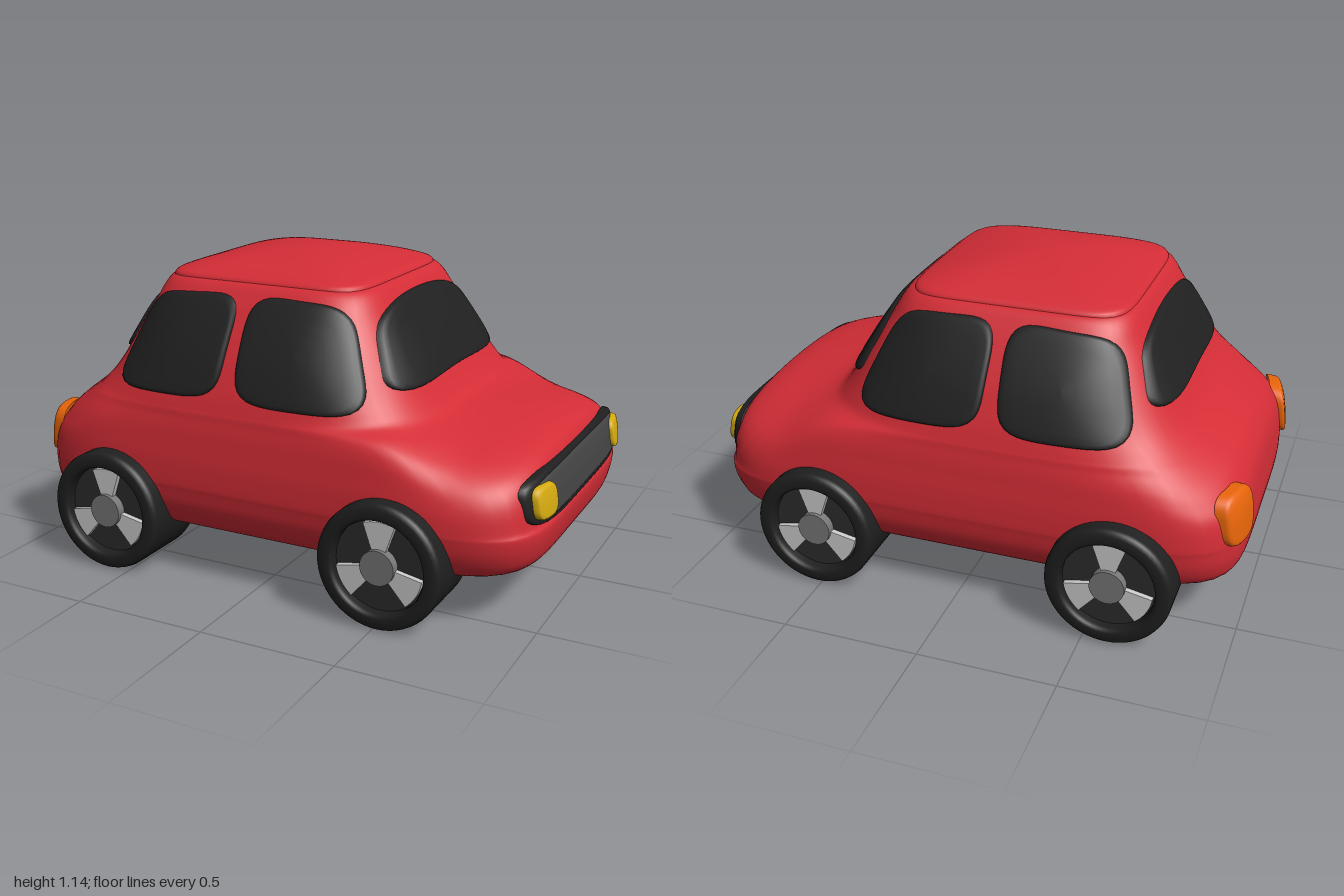
import * as THREE from 'three';

const mat = (color) => new THREE.MeshStandardMaterial({ color, roughness: 0.6, side: THREE.DoubleSide });
const paint = mat(0xd42d36), glass = mat(0x202020), rubber = mat(0x1f1f1f), dark = mat(0x2c2c2c);
const grilleGrey = mat(0x444444), yellow = mat(0xd6ab10), orange = mat(0xe8650a);
const silver = mat(0xc4c4c4), hubGrey = mat(0x777777);
const { smoothstep, lerp } = THREE.MathUtils;

// Horizontal sections of the body: [y, rear x, front x, half width, squareness]
const BODY = [
  [0.17, -0.90, 0.88, 0.55, 6],
  [0.185, -0.955, 0.93, 0.595, 6],
  [0.22, -0.985, 0.97, 0.635, 6],
  [0.28, -0.995, 0.99, 0.662, 6],
  [0.34, -0.995, 0.997, 0.672, 6],
  [0.37, -0.993, 0.985, 0.675, 6],
  [0.45, -0.985, 0.975, 0.672, 6],
  [0.51, -0.97, 0.96, 0.665, 6],
  [0.555, -0.945, 0.94, 0.66, 5.5],
  [0.585, -0.92, 0.9, 0.655, 5],
  [0.61, -0.885, 0.82, 0.65, 4.6],
  [0.63, -0.855, 0.7, 0.647, 4.3],
  [0.643, -0.835, 0.62, 0.643, 4.1],
  [0.66, -0.81, 0.57, 0.638, 4],
  [0.7, -0.76, 0.53, 0.625, 4],
  [0.75, -0.72, 0.495, 0.605, 4],
  [0.82, -0.68, 0.455, 0.574, 4],
  [0.9, -0.635, 0.405, 0.53, 4.2],
  [0.97, -0.594, 0.358, 0.486, 4.5],
  [1.02, -0.565, 0.325, 0.45, 5],
  [1.05, -0.545, 0.3, 0.425, 5],
  [1.062, -0.52, 0.27, 0.4, 5],
  [1.065, -0.46, 0.21, 0.35, 5],
];
const ROOF = [
  [1.04, -0.53, 0.28, 0.405, 6],
  [1.068, -0.525, 0.275, 0.4, 6],
  [1.085, -0.49, 0.24, 0.37, 5.5],
  [1.105, -0.42, 0.17, 0.31, 5],
  [1.124, -0.33, 0.08, 0.225, 4],
  [1.138, -0.22, -0.03, 0.11, 3],
  [1.142, -0.15, -0.1, 0.03, 2],
];

// Smooth the section table by a spline through its rows
function refine(rows, steps = 4) {
  const out = [];
  const last = rows.length - 1;
  for (let i = 0; i < last; i++) {
    const p = [rows[Math.max(i - 1, 0)], rows[i], rows[i + 1], rows[Math.min(i + 2, last)]];
    for (let s = 0; s < steps; s++) {
      const t = s / steps;
      out.push(p[1].map((b, k) => {
        const [a, c, d] = [p[0][k], p[2][k], p[3][k]];
        return b + 0.5 * t * (c - a + t * (2 * a - 5 * b + 4 * c - d + t * (3 * (b - c) + d - a)));
      }));
    }
  }
  out.push(rows[last]);
  return out;
}

// Closed skin over rounded-rectangle sections
function loft(rows, shape = (x, y) => y, seg = 112) {
  const pos = [], idx = [];
  for (const [y, xb, xf, w, n] of rows) {
    for (let i = 0; i < seg; i++) {
      const c = Math.cos((i / seg) * Math.PI * 2), s = Math.sin((i / seg) * Math.PI * 2);
      const r = Math.pow(Math.abs(c) ** n + Math.abs(s) ** n, -1 / n);
      const x = (xb + xf) / 2 + (c * r * (xf - xb)) / 2, z = s * r * w;
      pos.push(x, shape(x, y, z), z);
    }
  }
  const top = rows.length - 1;
  for (let j = 0; j < top; j++) for (let i = 0; i < seg; i++) {
    const a = j * seg + i, b = j * seg + ((i + 1) % seg);
    idx.push(a, a + seg, b, b, a + seg, b + seg);
  }
  const base = rows.length * seg;
  for (const r of [rows[0], rows[top]]) pos.push((r[1] + r[2]) / 2, r[0], 0);
  for (let i = 0; i < seg; i++) {
    const k = (i + 1) % seg;
    idx.push(base, i, k, base + 1, top * seg + k, top * seg + i);
  }
  return makeGeometry(pos, idx);
}

function makeGeometry(pos, idx) {
  const g = new THREE.BufferGeometry();
  g.setAttribute('position', new THREE.Float32BufferAttribute(pos, 3));
  g.setIndex(idx);
  g.computeVertexNormals();
  return g;
}

const body = refine(BODY);
function sectionAt(y) {
  let j = 0;
  while (j < body.length - 2 && body[j + 1][0] < y) j++;
  const t = (y - body[j][0]) / (body[j + 1][0] - body[j][0]);
  return body[j].map((v, k) => lerp(v, body[j + 1][k], t));
}

// Body surface reached from the side (dir = +-z) or from an end (dir = +-x)
const onSide = (dir) => (x, y, off) => {
  const [, xb, xf, w, n] = sectionAt(y);
  const u = Math.min(Math.abs((x - (xb + xf) / 2) / ((xf - xb) / 2)), 1);
  return [x, y, dir * (w * (1 - u ** n) ** (1 / n) + off)];
};
const onEnd = (dir) => (z, y, off) => {
  const [, xb, xf, w, n] = sectionAt(y);
  const u = Math.min(Math.abs(z) / w, 1);
  return [(xb + xf) / 2 + dir * (((xf - xb) / 2) * (1 - u ** n) ** (1 / n) + off), y, z];
};

// Rounded panel lying on the body; corners: top-left, top-right, bottom-right, bottom-left
function panel(corners, surface, off, { bend = 0, n = 4.5 } = {}) {
  const [tl, tr, br, bl] = corners, seg = 64, pos = [], idx = [];
  const rings = [[0.001, 1], [0.25, 1], [0.5, 1], [0.75, 1], [0.9, 0.97], [0.96, 0.8], [0.99, 0.4], [1, -1.2]];
  rings.forEach(([r, h], j) => {
    for (let i = 0; i < seg; i++) {
      const c = Math.cos((i / seg) * Math.PI * 2), s = Math.sin((i / seg) * Math.PI * 2);
      const k = r * Math.pow(Math.abs(c) ** n + Math.abs(s) ** n, -1 / n);
      const u = (1 + c * k) / 2, v = (1 + s * k) / 2;
      const at = (q) => lerp(lerp(bl[q], br[q], u), lerp(tl[q], tr[q], u), v);
      pos.push(...surface(at(0), at(1) - bend * (c * k) ** 2, off * h));
      const a = j * seg + i, b = j * seg + ((i + 1) % seg);
      if (j < rings.length - 1) idx.push(a, a + seg, b, b, a + seg, b + seg);
    }
  });
  return makeGeometry(pos, idx);
}
const box = (a0, a1, y0, y1) => [[a0, y1], [a1, y1], [a1, y0], [a0, y0]];

function add(parent, name, geometry, material) {
  const m = new THREE.Mesh(geometry, material);
  m.name = name;
  parent.add(m);
  return m;
}

// Wheel centred on its axle, axle along z
function makeWheel() {
  const wheel = new THREE.Group();
  const half = [[0.225, 0], [0.225, 0.118], [0.221, 0.132], [0.208, 0.142], [0.18, 0.1425], [0.169, 0.138], [0.165, 0.125], [0.165, 0.09]];
  const profile = [...half.slice(1).reverse().map(([r, y]) => [r, -y]), ...half].map((p) => new THREE.Vector2(...p));
  add(wheel, 'tyre', new THREE.LatheGeometry(profile, 56).rotateX(Math.PI / 2), rubber);
  add(wheel, 'rim', new THREE.CylinderGeometry(0.168, 0.168, 0.2, 40).rotateX(Math.PI / 2), dark);
  add(wheel, 'hub', new THREE.CylinderGeometry(0.062, 0.062, 0.27, 32).rotateX(Math.PI / 2), hubGrey);
  for (let i = 0; i < 3; i++) {
    const a = Math.PI / 2 + (i * Math.PI * 2) / 3, s = new THREE.Shape();
    s.absarc(0, 0, 0.158, a - 0.37, a + 0.37, false);
    s.absarc(0, 0, 0.05, a + 0.45, a - 0.45, true);
    const spoke = new THREE.ExtrudeGeometry(s, { depth: 0.24, bevelEnabled: false, curveSegments: 10 });
    add(wheel, 'spoke', spoke.translate(0, 0, -0.12), silver);
  }
  return wheel;
}

export function createModel() {
  const car = new THREE.Group();
  car.name = 'car';

  // Body, with bonnet and tail shoulders falling away to the sides
  const shoulder = (x, y, z) =>
    y - 0.09 * smoothstep(y, 0.3, 0.6) * smoothstep(Math.abs(x + 0.1), 0.55, 0.85) * (z / 0.67) ** 2;
  add(car, 'body', loft(body, shoulder), paint);
  add(car, 'roof', loft(refine(ROOF)), paint);

  // Windows
  const ends = [[-0.36, 1.02], [0.36, 1.02], [0.5, 0.75], [-0.5, 0.75]];
  add(car, 'windscreen', panel(ends, onEnd(1), 0.018, { bend: 0.03 }), glass);
  const rear = ends.map(([z, y]) => [z * 0.96, y < 0.9 ? 0.775 : 1.005]);
  add(car, 'rearWindow', panel(rear, onEnd(-1), 0.018, { bend: 0.025 }), glass);
  for (const side of [1, -1]) {
    const frontPane = [[-0.105, 1.035], [0.27, 1.02], [0.415, 0.68], [-0.09, 0.685]];
    const rearPane = [[-0.53, 1.01], [-0.14, 1.035], [-0.15, 0.685], [-0.63, 0.68]];
    add(car, 'frontSideWindow', panel(frontPane, onSide(side), 0.014), glass);
    add(car, 'rearSideWindow', panel(rearPane, onSide(side), 0.014), glass);
  }

  // Grille and lights
  add(car, 'grilleFrame', panel(box(-0.515, 0.515, 0.355, 0.53), onEnd(1), 0.012, { n: 5 }), rubber);
  add(car, 'grille', panel(box(-0.495, 0.495, 0.37, 0.515), onEnd(1), 0.018, { n: 5 }), grilleGrey);
  for (const side of [1, -1]) {
    const lamp = box(side * 0.345, side * 0.487, 0.385, 0.5);
    add(car, 'headlight', panel(lamp, onEnd(1), 0.032, { n: 3.5 }), yellow);
    const tail = box(side * 0.355, side * 0.55, 0.34, 0.53);
    add(car, 'tailLight', panel(tail, onEnd(-1), 0.02, { n: 3.5 }), orange);
  }

  // Wheels
  for (const [name, x] of [['frontWheel', 0.515], ['rearWheel', -0.585]]) {
    for (const side of [1, -1]) {
      const wheel = makeWheel();
      wheel.name = name;
      wheel.position.set(x, 0.228, side * 0.592);
      car.add(wheel);
    }
  }
  return car;
}
